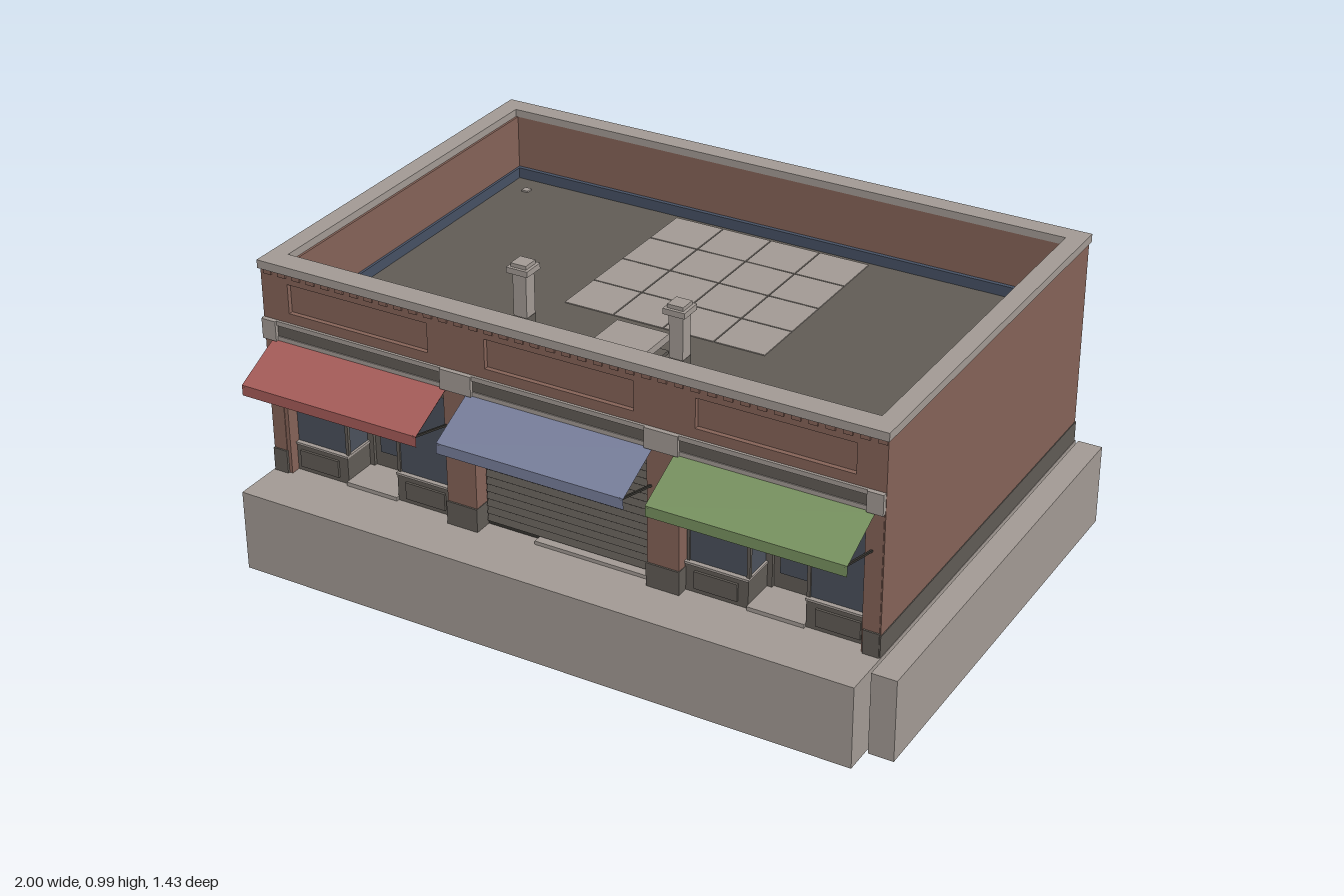
import * as THREE from 'three';

const paint = (name, color, side = THREE.FrontSide) => {
  const m = new THREE.MeshStandardMaterial({ color, side });
  m.name = name;
  return m;
};

export function createModel() {
  const model = new THREE.Group();
  model.name = 'shopBuilding';
  const stone = paint('stone', 0xa19993);
  const brick = paint('brick', 0x846257);
  const dark = paint('darkGrey', 0x605b55);
  const glass = paint('glass', 0x4a505b);
  const flashing = paint('flashing', 0x465063);
  const iron = paint('iron', 0x35332f);
  const cloths = [
    paint('redCloth', 0xa45b58, THREE.DoubleSide),
    paint('blueCloth', 0x777e9a, THREE.DoubleSide),
    paint('greenCloth', 0x77915f, THREE.DoubleSide),
  ];
  const bays = [-0.68, -0.04, 0.6];

  const group = (name, x = 0) => {
    const g = new THREE.Group();
    g.name = name;
    g.position.x = x;
    model.add(g);
    return g;
  };
  // Box given by its extents
  const box = (name, mat, x0, x1, y0, y1, z0, z1, parent = model) => {
    const m = new THREE.Mesh(new THREE.BoxGeometry(x1 - x0, y1 - y0, z1 - z0), mat);
    m.position.set((x0 + x1) / 2, (y0 + y1) / 2, (z0 + z1) / 2);
    m.name = name;
    parent.add(m);
    return m;
  };
  // Extruded rectangle [x0, x1, y0, y1] with rectangular holes
  const corners = ([a, b, c, d]) => [[a, c], [b, c], [b, d], [a, d]].map(p => new THREE.Vector2(...p));
  const pierced = (outer, holes, depth) => {
    const s = new THREE.Shape(corners(outer));
    holes.forEach(h => s.holes.push(new THREE.Path(corners(h).reverse())));
    return new THREE.ExtrudeGeometry(s, { depth, bevelEnabled: false });
  };
  const add = (name, mat, geo) => {
    const m = new THREE.Mesh(geo, mat);
    m.name = name;
    model.add(m);
  };
  // Rectangular ring lying flat, extents as [x0, x1, z0, z1]
  const ring = (name, mat, [a, b, c, d], [e, f, g, h], y0, y1) =>
    add(name, mat, pierced([a, b, -d, -c], [[e, f, -h, -g]], y1 - y0).rotateX(-Math.PI / 2).translate(0, y0, 0));
  // Upper wall with a sunken panel over each bay
  const facade = (name, y0, z) =>
    add(name, brick, pierced([-0.994, 0.911, y0, 0.89], bays.map(x => [x - 0.229, x + 0.229, 0.768, 0.857]), 0.016).translate(0, 0, z));
  // Four thin bars around a rectangle on a wall
  const frame = (name, mat, x0, x1, y0, y1, z0, z1, t, parent) => {
    box(name, mat, x0, x1, y0, y0 + t, z0, z1, parent);
    box(name, mat, x0, x1, y1 - t, y1, z0, z1, parent);
    box(name, mat, x0, x0 + t, y0 + t, y1 - t, z0, z1, parent);
    box(name, mat, x1 - t, x1, y0 + t, y1 - t, z0, z1, parent);
  };

  // Ground blocks
  box('groundSlab', stone, -1, 0.918, 0, 0.25, -0.718, 0.715);
  box('sidePavement', stone, 0.926, 1, 0, 0.25, -0.718, 0.635);

  // Shell: side and back walls, parapet, coping and roof
  box('leftWall', brick, 0.86, 0.914, 0.25, 0.89, -0.711, 0.56);
  box('rightWall', brick, -0.997, -0.94, 0.25, 0.89, -0.711, 0.56);
  box('backWall', brick, -0.945, 0.865, 0.25, 0.7, -0.695, -0.65);
  ring('parapet', brick, [-0.99, 0.91, -0.696, 0.546], [-0.938, 0.858, -0.655, 0.5], 0.685, 0.892);
  ring('coping', stone, [-1, 0.92, -0.714, 0.57], [-0.945, 0.865, -0.655, 0.5], 0.89, 0.915);
  ring('roofFlashing', flashing, [-0.939, 0.859, -0.656, 0.501], [-0.93, 0.85, -0.642, 0.487], 0.69, 0.728);
  facade('frontUpperWall', 0.675, 0.544);
  facade('backUpperWall', 0.7, -0.709);
  box('roof', dark, -0.945, 0.865, 0.25, 0.695, -0.655, 0.4);
  box('roofFront', dark, -0.945, 0.865, 0.675, 0.695, 0.4, 0.53);
  box('leftPlinth', dark, 0.9, 0.9165, 0.25, 0.315, -0.7125, 0.565);
  box('rightPlinth', stone, -0.999, -0.99, 0.25, 0.315, -0.7125, 0.56);

  // Pale roof tiles
  const tiles = group('roofTiles');
  for (let i = 0; i < 4; i++) for (let j = 0; j < 4; j++) {
    const x = -0.363 + i * 0.161, z = -0.628 + j * 0.16;
    box('roofTile', stone, x, x + 0.157, 0.69, 0.698, z, z + 0.156, tiles);
  }
  for (const x of [-0.86, 0.78]) box('roofDrain', stone, x - 0.011, x + 0.011, 0.69, 0.7, -0.582, -0.56);

  // Roof hatch
  const hatch = group('roofHatch');
  box('hatchBase', dark, -0.118, 0.043, 0.69, 0.705, 0.127, 0.288, hatch);
  box('hatchFlashing', flashing, -0.09, 0.015, 0.705, 0.735, 0.117, 0.297, hatch);
  box('hatchLid', stone, -0.12, 0.045, 0.735, 0.757, 0.125, 0.29, hatch);

  // Chimneys
  for (const x of [-0.282, 0.2]) {
    const c = group('chimney', x);
    const tier = (name, mat, r, y0, y1) => box(name, mat, -r, r, y0, y1, 0.34 - r, 0.34 + r, c);
    tier('chimneyFoot', dark, 0.033, 0.69, 0.705);
    tier('chimneyBase', dark, 0.022, 0.7, 0.83);
    tier('chimneyShaft', stone, 0.021, 0.83, 0.96);
    tier('chimneyCap', stone, 0.033, 0.96, 0.977);
    tier('chimneyTop', stone, 0.024, 0.977, 0.988);
  }

  // Cornice and brick teeth
  box('frontLedge', stone, -0.998, 0.913, 0.724, 0.738, 0.55, 0.568);
  box('frontFascia', dark, -0.95, 0.87, 0.69, 0.724, 0.55, 0.563);
  box('frontLintel', stone, -0.998, 0.913, 0.677, 0.69, 0.55, 0.566);
  box('backLedge', stone, -0.996, 0.913, 0.72, 0.742, -0.7125, -0.69);
  const teeth = group('brickTeeth');
  for (let i = 0; i < 40; i++) {
    const x = -0.985 + i * 0.048;
    box('brickTooth', brick, x, x + 0.026, 0.876, 0.89, 0.55, 0.565, teeth);
  }

  // Pilasters, front and back
  for (const [x0, x1] of [[-0.994, -0.952], [-0.405, -0.31], [0.228, 0.325], [0.868, 0.911]]) {
    const p = group('pilaster');
    box('frontPilaster', brick, x0, x1, 0.25, 0.69, 0.4, 0.562, p);
    box('frontPilasterFoot', dark, x0 - 0.002, x1 + 0.002, 0.25, 0.322, 0.4, 0.567, p);
    box('frontCapital', stone, x0 - 0.002, x1 + 0.002, 0.677, 0.738, 0.54, 0.574, p);
    box('backPilaster', brick, x0, x1, 0.25, 0.7, -0.708, -0.69, p);
    box('backCapital', stone, x0, x1, 0.69, 0.745, -0.7135, -0.69, p);
  }

  // Awnings: sloping cloth, hanging valance and side rods
  bays.forEach((cx, i) => {
    const a = group('awning', cx);
    const pts = [[0.677, 0.565], [0.602, 0.715], [0.57, 0.715]];
    const pos = [], idx = [];
    for (let k = 0; k < 2; k++) for (const [y, z] of [pts[k], pts[k + 1]])
      pos.push(-0.288, y, z, 0.288, y, z);
    for (const o of [0, 4]) idx.push(o, o + 2, o + 1, o + 1, o + 2, o + 3);
    const sheet = new THREE.BufferGeometry();
    sheet.setAttribute('position', new THREE.Float32BufferAttribute(pos, 3));
    sheet.setIndex(idx);
    sheet.computeVertexNormals();
    const cloth = new THREE.Mesh(sheet, cloths[i]);
    cloth.name = 'awningCloth';
    a.add(cloth);
    for (const s of [-1, 1]) for (const [y, tilt] of [[0.58, -0.25], [0.635, 0.464]]) {
      const rod = box('awningRod', iron, -0.003, 0.003, -0.003, 0.003, -0.08, 0.08, a);
      rod.position.set(s * 0.28, y, 0.637);
      rod.rotation.x = tilt;
    }
  });

  // Shopfronts with a set-back door between two display windows
  for (const cx of [bays[0], bays[2]]) {
    const s = group('shopfront', cx);
    for (const d of [-1, 1]) {
      const span = (a, b) => (d > 0 ? [a, b] : [-b, -a]);
      const part = (name, mat, a, b, ...r) => box(name, mat, ...span(a, b), ...r, s);
      part('bulkhead', dark, 0.085, 0.275, 0.25, 0.333, 0.4, 0.53);
      part('bulkheadPanel', dark, 0.115, 0.245, 0.265, 0.318, 0.52, 0.537);
      part('windowSill', stone, 0.083, 0.275, 0.333, 0.34, 0.4, 0.534);
      part('displayWindow', glass, 0.09, 0.272, 0.34, 0.645, 0.4, 0.52);
      part('windowPost', dark, 0.083, 0.093, 0.34, 0.645, 0.515, 0.525);
      part('windowPost', dark, 0.264, 0.272, 0.34, 0.645, 0.515, 0.525);
      part('doorPost', dark, 0.07, 0.09, 0.25, 0.645, 0.4, 0.425);
    }
    box('shopHeader', dark, -0.275, 0.275, 0.62, 0.677, 0.4, 0.53, s);
    box('shopDoor', dark, -0.07, 0.07, 0.262, 0.64, 0.4, 0.415, s);
    box('doorGlass', glass, -0.05, 0.05, 0.31, 0.6, 0.41, 0.419, s);
    box('doorRail', dark, -0.05, 0.05, 0.403, 0.41, 0.415, 0.422, s);
    box('doorHandle', stone, 0.055, 0.061, 0.39, 0.44, 0.41, 0.425, s);
    box('doorStep', stone, -0.085, 0.085, 0.25, 0.262, 0.4, 0.54, s);
  }

  // Roller shutter with overlapping slats
  const shutter = group('rollerShutter', bays[1]);
  box('shutterBack', iron, -0.27, 0.268, 0.25, 0.677, 0.4, 0.51, shutter);
  for (let i = 0; i < 16; i++) {
    const y = 0.264 + i * 0.0235;
    const slat = box('shutterSlat', dark, -0.265, 0.265, y, y + 0.02, 0.506, 0.518, shutter);
    slat.rotation.x = -0.3;
  }
  box('shutterSill', stone, -0.1, 0.262, 0.25, 0.261, 0.5, 0.54, shutter);

  // Back: plinth, sloping ground, barred windows and door
  box('backPlinth', dark, -0.995, -0.13, 0.25, 0.312, -0.7115, -0.69);
  box('backPlinth', dark, 0.05, 0.913, 0.25, 0.312, -0.7115, -0.69);
  const slope = new THREE.Shape([[-1, 0.24], [-0.38, 0.24], [-0.38, 0.25], [-0.74, 0.317], [-1, 0.317]]
    .map(p => new THREE.Vector2(...p)));
  add('slopingGround', stone, new THREE.ExtrudeGeometry(slope, { depth: 0.015, bevelEnabled: false }).translate(0, 0, -0.717));

  for (const cx of [bays[0], bays[2]]) {
    const w = group('backWindow', cx);
    box('backGlass', glass, -0.095, 0.095, 0.52, 0.65, -0.7, -0.69, w);
    frame('backWindowFrame', stone, -0.1, 0.1, 0.515, 0.655, -0.706, -0.69, 0.01, w);
    box('backWindowSill', stone, -0.12, 0.12, 0.498, 0.515, -0.713, -0.69, w);
    for (let i = 0; i < 7; i++) {
      const x = -0.075 + i * 0.025;
      box('windowBar', dark, x - 0.003, x + 0.003, 0.525, 0.645, -0.707, -0.702, w);
    }
  }
  const door = group('backDoor', bays[1]);
  box('doorLeaf', dark, -0.07, 0.07, 0.25, 0.64, -0.702, -0.69, door);
  frame('doorFrame', dark, -0.08, 0.08, 0.25, 0.65, -0.71, -0.69, 0.01, door);
  for (const s of [-1, 1]) {
    box('doorPanel', dark, s * 0.03 - 0.022, s * 0.03 + 0.022, 0.3, 0.42, -0.706, -0.7, door);
    box('doorPane', stone, s * 0.03 - 0.014, s * 0.03 + 0.014, 0.5, 0.54, -0.707, -0.7, door);
  }
  box('doorLamp', stone, -0.045, 0.045, 0.665, 0.695, -0.7135, -0.69, door);
  box('backStep', stone, -0.085, 0.085, 0.25, 0.262, -0.715, -0.69, door);

  return model;
}
